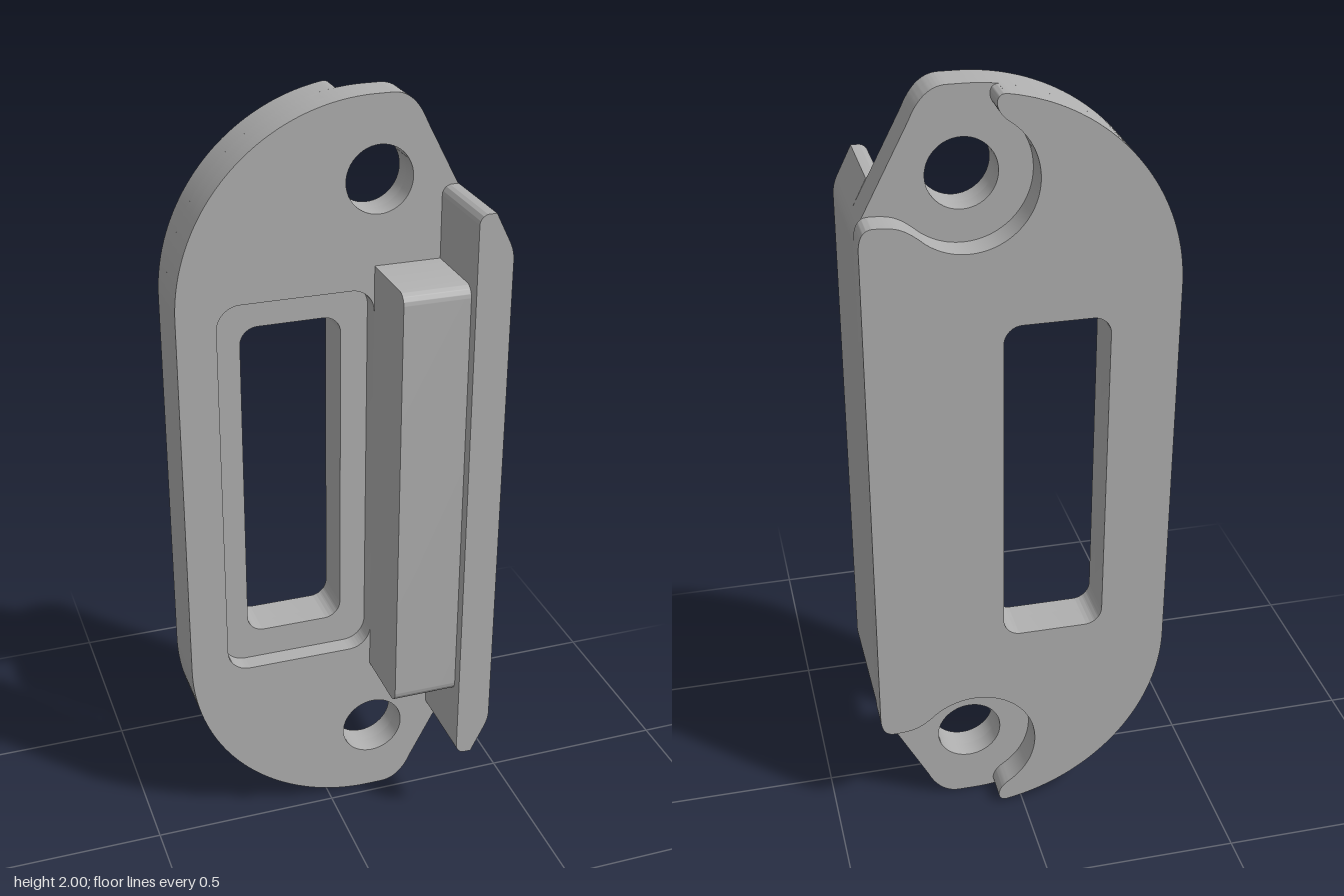
import * as THREE from 'three';
import { toCreasedNormals } from 'three/addons/utils/BufferGeometryUtils.js';

const rad = THREE.MathUtils.degToRad;

// Closed shape from an upper half path (y >= 0), mirrored below y = 0
function mirroredShape(half) {
  const top = half.getPoints(24);
  const bottom = top.slice(1, -1).reverse().map(p => new THREE.Vector2(p.x, -p.y));
  return new THREE.Shape([...top, ...bottom]);
}

// Rounded rectangle between x0..x1, centred on y = 0
function roundedRect(x0, x1, h, r) {
  const p = new THREE.Path();
  p.absarc(x1 - r, h - r, r, 0, rad(90));
  p.absarc(x0 + r, h - r, r, rad(90), rad(180));
  p.absarc(x0 + r, r - h, r, rad(180), rad(270));
  p.absarc(x1 - r, r - h, r, rad(270), rad(360));
  p.closePath();
  return p;
}

// Full plate outline
function plateOutline() {
  const p = new THREE.Path();
  p.moveTo(0.38, 0);
  p.lineTo(0.38, 0.645);
  p.quadraticCurveTo(0.38, 0.67, 0.367, 0.695);
  p.lineTo(0.247, 0.925);
  p.quadraticCurveTo(0.215, 1, 0.16, 1);
  p.lineTo(0.12, 1);
  p.absarc(0.12, 0.5, 0.5, rad(90), rad(180));
  p.lineTo(-0.38, 0);
  return mirroredShape(p);
}

// Rear outline, cut away around the screw holes
function rearOutline() {
  const p = new THREE.Path();
  p.moveTo(0.38, 0);
  p.lineTo(0.38, 0.66);
  p.quadraticCurveTo(0.378, 0.71, 0.345, 0.71);
  p.bezierCurveTo(0.29, 0.71, 0.274, 0.701, 0.236, 0.669);
  p.absarc(0.13, 0.795, 0.165, rad(-50), rad(-235), true);
  p.bezierCurveTo(0.075, 0.957, 0.07, 0.995, 0.045, 0.994);
  p.absarc(0.12, 0.5, 0.5, rad(98.6), rad(180));
  p.lineTo(-0.38, 0);
  return mirroredShape(p);
}

// Outline of the tall side flange
function flangeOutline() {
  const p = new THREE.Path();
  p.moveTo(0.38, 0);
  p.lineTo(0.38, 0.645);
  p.quadraticCurveTo(0.38, 0.67, 0.367, 0.695);
  p.lineTo(0.332, 0.765);
  p.lineTo(0.315, 0.765);
  p.absarc(0.315, 0.74, 0.025, rad(90), rad(180));
  p.lineTo(0.29, 0);
  return mirroredShape(p);
}

function screwHoles() {
  return [-1, 1].map(s => {
    const hole = new THREE.Path();
    hole.absarc(0.13, s * 0.795, 0.085, 0, Math.PI * 2);
    return hole;
  });
}

export function createModel() {
  const group = new THREE.Group();
  group.name = 'strikePlate';
  const grey = new THREE.MeshStandardMaterial({ color: 0xb0b0b0 });
  grey.name = 'grey';

  // Extrude a front-facing shape between two depths
  function addLayer(name, shape, z0, z1, holes = []) {
    shape.holes.push(...holes);
    const geo = new THREE.ExtrudeGeometry(shape, { depth: z1 - z0, bevelEnabled: false, curveSegments: 24 });
    geo.translate(0, 1, z0);
    const mesh = new THREE.Mesh(toCreasedNormals(geo, 0.5), grey);
    mesh.name = name;
    group.add(mesh);
  }

  const slot = () => roundedRect(-0.21, 0.05, 0.44, 0.045);
  const recess = () => roundedRect(-0.28, 0.12, 0.522, 0.06);

  // Plate in three layers: screw pockets behind, slot ledge, front recess
  addLayer('rearPlate', rearOutline(), -0.2, -0.127, [slot()]);
  addLayer('middlePlate', plateOutline(), -0.127, -0.08, [slot(), ...screwHoles()]);
  addLayer('frontPlate', plateOutline(), -0.08, -0.03, [recess(), ...screwHoles()]);
  addLayer('sideFlange', flangeOutline(), -0.03, 0.2);

  // Block beside the slot, its upper and lower front edges rounded
  const r = 0.03;
  const profile = new THREE.Shape();
  profile.moveTo(0.03, -0.58);
  profile.lineTo(0.03, 0.58);
  profile.lineTo(r - 0.17, 0.58);
  profile.absarc(r - 0.17, 0.58 - r, r, rad(90), rad(180));
  profile.absarc(r - 0.17, r - 0.58, r, rad(180), rad(270));
  profile.closePath();
  const block = new THREE.ExtrudeGeometry(profile, { depth: 0.17, bevelEnabled: false, curveSegments: 12 });
  block.rotateY(Math.PI / 2); // depth runs along x, profile x becomes -z
  block.translate(0.12, 1, 0);
  const blockMesh = new THREE.Mesh(toCreasedNormals(block, 0.5), grey);
  blockMesh.name = 'latchBlock';
  group.add(blockMesh);

  return group;
}
